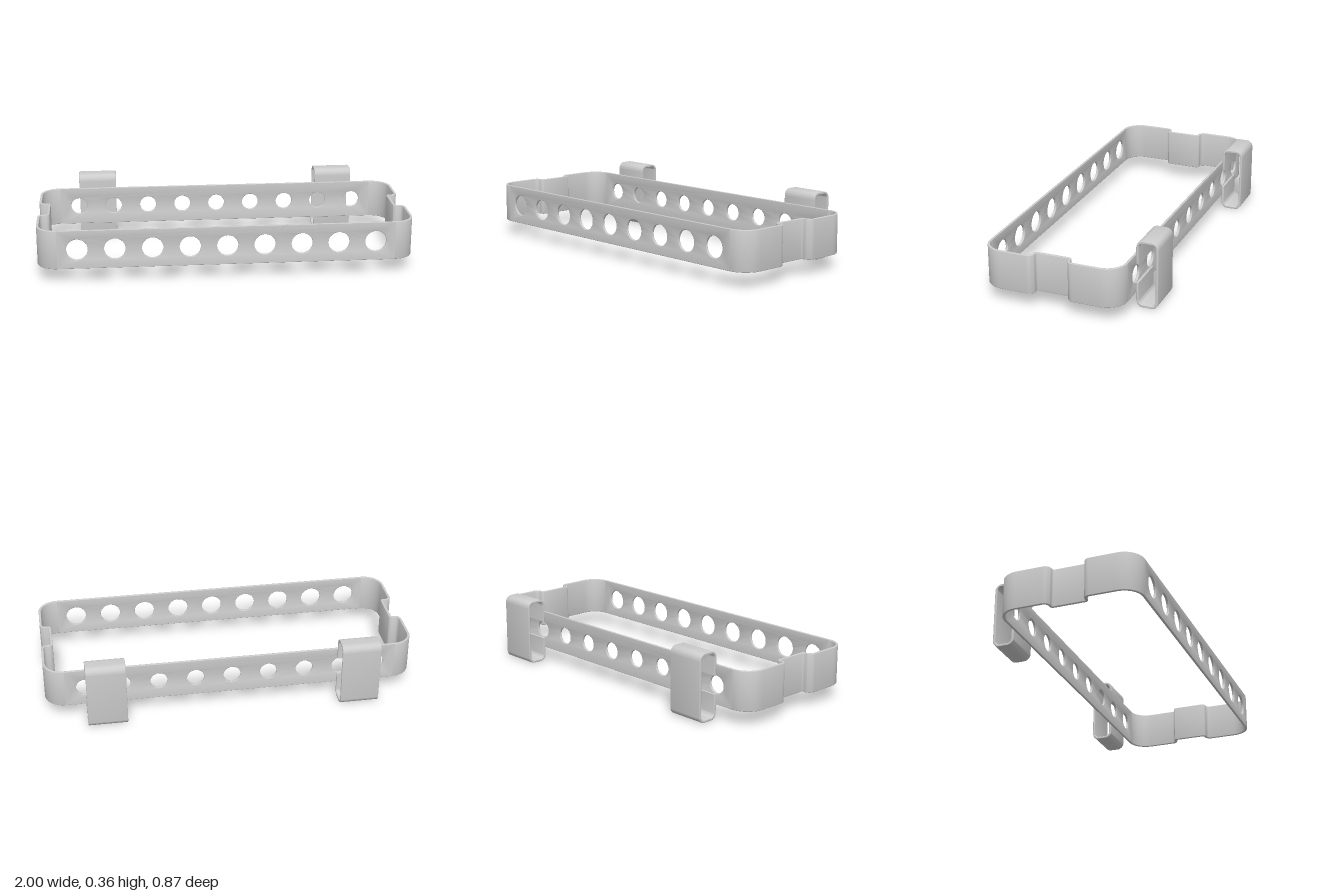
import * as THREE from 'three';
import { toCreasedNormals } from 'three/addons/utils/BufferGeometryUtils.js';

const T = 0.013; // sheet thickness
const EDGE = 0.003; // rounding of the sheet edges
const Y0 = 0.078, Y1 = 0.288; // band bottom and top
const HALF_Z = 0.376, MID_Z = 0.058; // band half depth and centre

// Extrusion from z = 0 to depth with softened edges
function softExtrude(shape, depth) {
  return new THREE.ExtrudeGeometry(shape, {
    depth: depth - 2 * EDGE, curveSegments: 32,
    bevelThickness: EDGE, bevelSize: EDGE, bevelOffset: -EDGE, bevelSegments: 3,
  }).translate(0, 0, EDGE);
}

// Corner list [x, y, radius] turned into a smooth centre line
function roundPath(corners) {
  const pts = [];
  corners.forEach(([x, y, r], i) => {
    const p = new THREE.Vector2(x, y);
    if (!r) { pts.push(p); return; }
    const toward = (q) => new THREE.Vector2(q[0], q[1]).sub(p).normalize().multiplyScalar(r);
    const a = toward(corners[i - 1]), b = toward(corners[i + 1]);
    const c = p.clone().add(a).add(b); // arc centre of a right-angle corner
    for (let k = 0; k <= 10; k++) {
      const t = (k / 10) * Math.PI / 2;
      pts.push(c.clone().addScaledVector(b, -Math.cos(t)).addScaledVector(a, -Math.sin(t)));
    }
  });
  return pts;
}

// Bent sheet: the centre line thickened both ways and extruded
function bentSheet(corners, depth) {
  const pts = roundPath(corners), outer = [], inner = [];
  pts.forEach((p, i) => {
    const a = pts[Math.max(i - 1, 0)], b = pts[Math.min(i + 1, pts.length - 1)];
    const n = b.clone().sub(a).normalize();
    n.set(-n.y, n.x).multiplyScalar(T / 2);
    outer.push(p.clone().add(n));
    inner.unshift(p.clone().sub(n));
  });
  return softExtrude(new THREE.Shape([...outer, ...inner]), depth);
}

export function createModel() {
  const model = new THREE.Group();
  const grey = new THREE.MeshStandardMaterial({ color: 0xcccccc });
  grey.name = 'light grey';
  const add = (parent, geometry, name) => {
    const mesh = new THREE.Mesh(toCreasedNormals(geometry, 0.6), grey);
    mesh.name = name;
    parent.add(mesh);
    return mesh;
  };

  const band = new THREE.Group();
  band.name = 'band';
  band.position.z = MID_Z;
  model.add(band);

  // Long walls with a row of nine holes
  function perforatedWall(radius, z, name) {
    const w = 0.896; // overlaps the rounded ends slightly
    const shape = new THREE.Shape([[-w, Y0], [w, Y0], [w, Y1], [-w, Y1]].map((p) => new THREE.Vector2(...p)));
    for (let i = -4; i <= 4; i++) {
      shape.holes.push(new THREE.Path().absarc(i * 0.197, (Y0 + Y1) / 2, radius, 0, Math.PI * 2, true));
    }
    add(band, softExtrude(shape, T).translate(0, 0, z), name);
  }
  perforatedWall(0.056, HALF_Z - T, 'frontWall');
  perforatedWall(0.046, -HALF_Z, 'backWall');

  // Rounded ends, each with a shallow notch in the middle
  const X = 1 - T / 2, Z = HALF_Z - T / 2, N = 0.096, NX = X - 0.05;
  const endCorners = [
    [0.89, -Z, 0], [X, -Z, 0.1], [X, -N, 0.028], [NX, -N, 0.012],
    [NX, N, 0.012], [X, N, 0.028], [X, Z, 0.1], [0.89, Z, 0],
  ];
  for (const side of [1, -1]) {
    const g = bentSheet(endCorners, Y1 - Y0).rotateX(Math.PI / 2).translate(0, Y1, 0);
    const end = add(band, g, side > 0 ? 'leftEnd' : 'rightEnd');
    if (side < 0) end.rotation.y = Math.PI;
  }

  // Open clips on the back, with the gap facing the band
  const front = 0.317 + T / 2, back = 0.434 - T / 2, low = T / 2, high = 0.362 - T / 2, R = 0.03;
  const clipCorners = [
    [front, 0.232, 0], [front, high, R], [back, high, R],
    [back, low, R], [front, low, R], [front, 0.133, 0],
  ];
  for (const side of [1, -1]) {
    const g = bentSheet(clipCorners, 0.21).rotateY(Math.PI / 2).translate(-0.105, 0, 0);
    add(model, g, side > 0 ? 'leftClip' : 'rightClip').position.x = side * 0.68;
  }
  return model;
}
